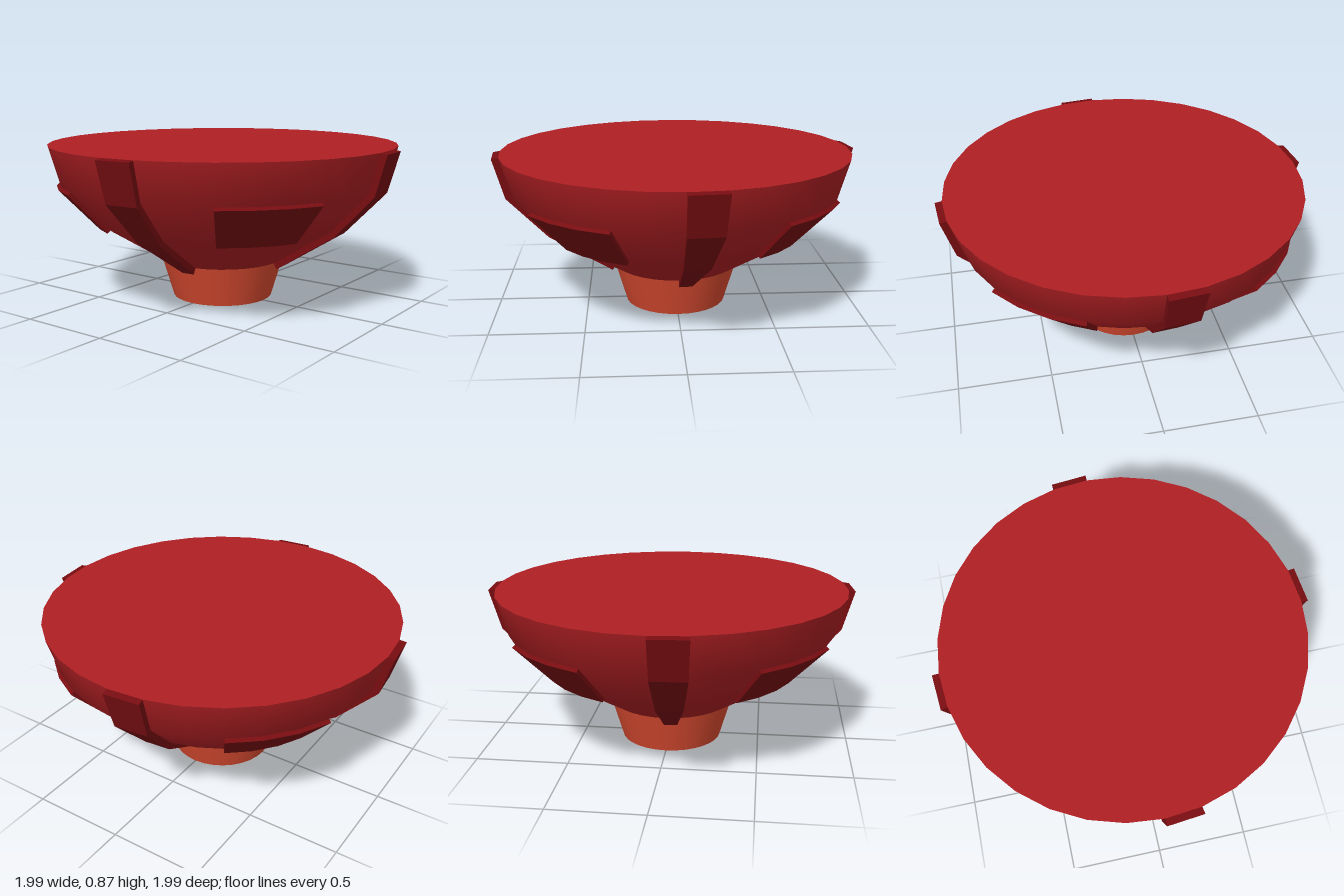
import * as THREE from 'three';
import { mergeGeometries } from 'three/addons/utils/BufferGeometryUtils.js';

const SIDES = 32;
const STEP = (Math.PI * 2) / SIDES;
const toPoints = (list) => list.map(([r, y]) => new THREE.Vector2(r, y));

// Sweep a closed (radius, height) section around the axis and cap both ends.
function sweptBlock(section, startStep, steps) {
  const pts = toPoints(section);
  const start = startStep * STEP;
  const skin = new THREE.LatheGeometry([...pts, pts[0]], steps, start, steps * STEP);
  const caps = [start, start + steps * STEP].map((angle) =>
    new THREE.ShapeGeometry(new THREE.Shape(pts)).rotateY(angle - Math.PI / 2));
  const geo = mergeGeometries([skin, ...caps].map((g) => g.toNonIndexed()));
  geo.computeVertexNormals();
  return geo;
}

export function createModel() {
  const model = new THREE.Group();
  const red = new THREE.MeshStandardMaterial({ color: 0xae1f23 });
  const darkRed = new THREE.MeshStandardMaterial({ color: 0x780d11, side: THREE.DoubleSide });
  const orange = new THREE.MeshStandardMaterial({ color: 0xd84a30 });

  const add = (name, geometry, material, parent = model) => {
    const mesh = new THREE.Mesh(geometry, material);
    mesh.name = name;
    parent.add(mesh);
    return mesh;
  };

  // Bowl: smooth wall in three bands, flat lid on top
  const wall = [[0.345, 0.22], [0.69, 0.435], [0.9, 0.655], [0.96, 0.867]];
  add('bowl', new THREE.LatheGeometry(toPoints(wall), SIDES), red);
  const lid = new THREE.CircleGeometry(0.96, SIDES).rotateX(-Math.PI / 2);
  add('lid', lid, red).position.y = 0.867;

  // Tapered foot under the bowl
  const foot = new THREE.CylinderGeometry(0.345, 0.28, 0.22, SIDES);
  add('foot', foot, orange).position.y = 0.11;

  // Ribs follow the whole wall; panels cover its middle band
  const ribOuter = [[0.365, 0.19], [0.715, 0.412], [0.935, 0.642], [0.997, 0.86]];
  const rib = sweptBlock([...ribOuter, ...[...wall].reverse()], 0, 1);
  const panel = sweptBlock([[0.706, 0.42], [0.917, 0.641], wall[2], wall[1]], 3, 3);

  // Four-fold repeat around the axis
  for (let i = 0; i < 4; i++) {
    const quarter = new THREE.Group();
    quarter.name = 'quarterTrim';
    quarter.rotation.y = (i * Math.PI) / 2;
    add('rib', rib, darkRed, quarter);
    add('panel', panel, darkRed, quarter);
    model.add(quarter);
  }
  return model;
}
